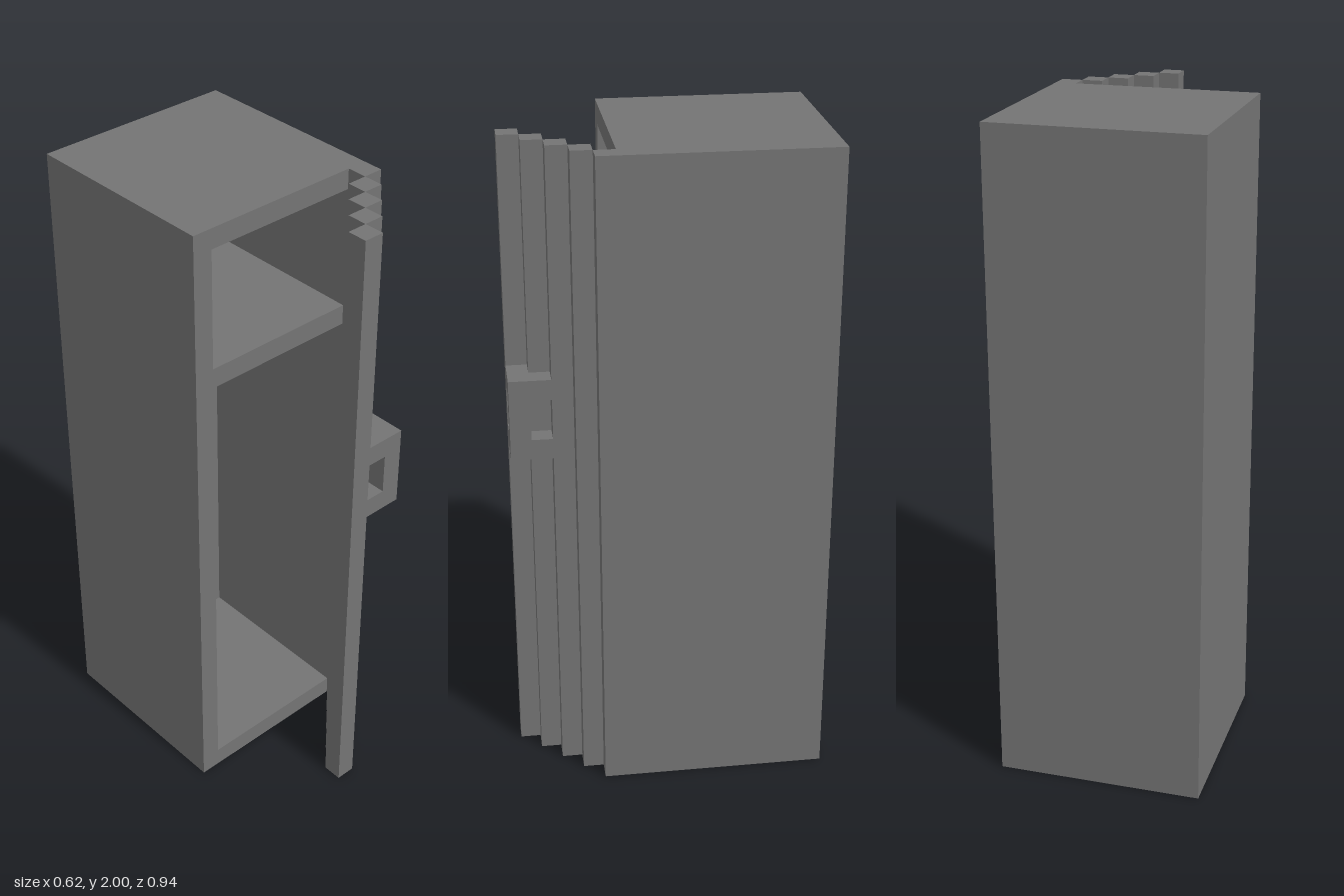
import * as THREE from 'three';

const U = 0.0625; // grid unit: the cabinet is 32 units tall

export function createModel() {
  const group = new THREE.Group();
  group.name = 'locker';
  const metal = new THREE.MeshStandardMaterial({ color: 0x747474 });
  metal.name = 'grey metal';

  // Box given by its corner ranges in grid units
  function block(name, x0, x1, y0, y1, z0, z1, parent = group) {
    const mesh = new THREE.Mesh(
      new THREE.BoxGeometry((x1 - x0) * U, (y1 - y0) * U, (z1 - z0) * U), metal);
    mesh.position.set((x0 + x1) / 2 * U, (y0 + y1) / 2 * U, (z0 + z1) / 2 * U);
    mesh.name = name;
    parent.add(mesh);
    return mesh;
  }

  function rectangle(path, x0, x1, y0, y1) {
    path.moveTo(x0 * U, y0 * U);
    path.lineTo(x1 * U, y0 * U);
    path.lineTo(x1 * U, y1 * U);
    path.lineTo(x0 * U, y1 * U);
    path.closePath();
    return path;
  }

  // Cabinet walls with a tall lower compartment and a short upper one
  const frame = rectangle(new THREE.Shape(), -5, 5, 0, 32);
  frame.holes.push(rectangle(new THREE.Path(), -4, 4, 1, 24));
  frame.holes.push(rectangle(new THREE.Path(), -4, 4, 25, 31));
  const walls = new THREE.Mesh(
    new THREE.ExtrudeGeometry(frame, { depth: 9 * U, bevelEnabled: false }), metal);
  walls.position.z = -6.5 * U;
  walls.name = 'cabinetWalls';
  group.add(walls);
  block('backPanel', -5, 5, 0, 32, -7.5, -6.5);

  // Open door: a diagonal run of upright strips starting at the hinge
  const door = new THREE.Group();
  door.name = 'door';
  group.add(door);
  for (let i = 0; i < 5; i++) {
    block(i === 0 ? 'hingeStrip' : 'doorStrip', 4 - i, 5 - i, 0, 32, 2.5 + i, 3.5 + i, door);
  }

  // Handle: corner post joined to the door by upper and lower arms
  const handle = new THREE.Group();
  handle.name = 'handle';
  door.add(handle);
  block('handlePost', 2, 3, 17, 21, 6.5, 7.5, handle);
  for (const y of [17, 20]) {
    block('handleFrontArm', 1, 2, y, y + 1, 6.5, 7.5, handle);
    block('handleSideArm', 2, 3, y, y + 1, 5.5, 6.5, handle);
  }

  return group;
}
